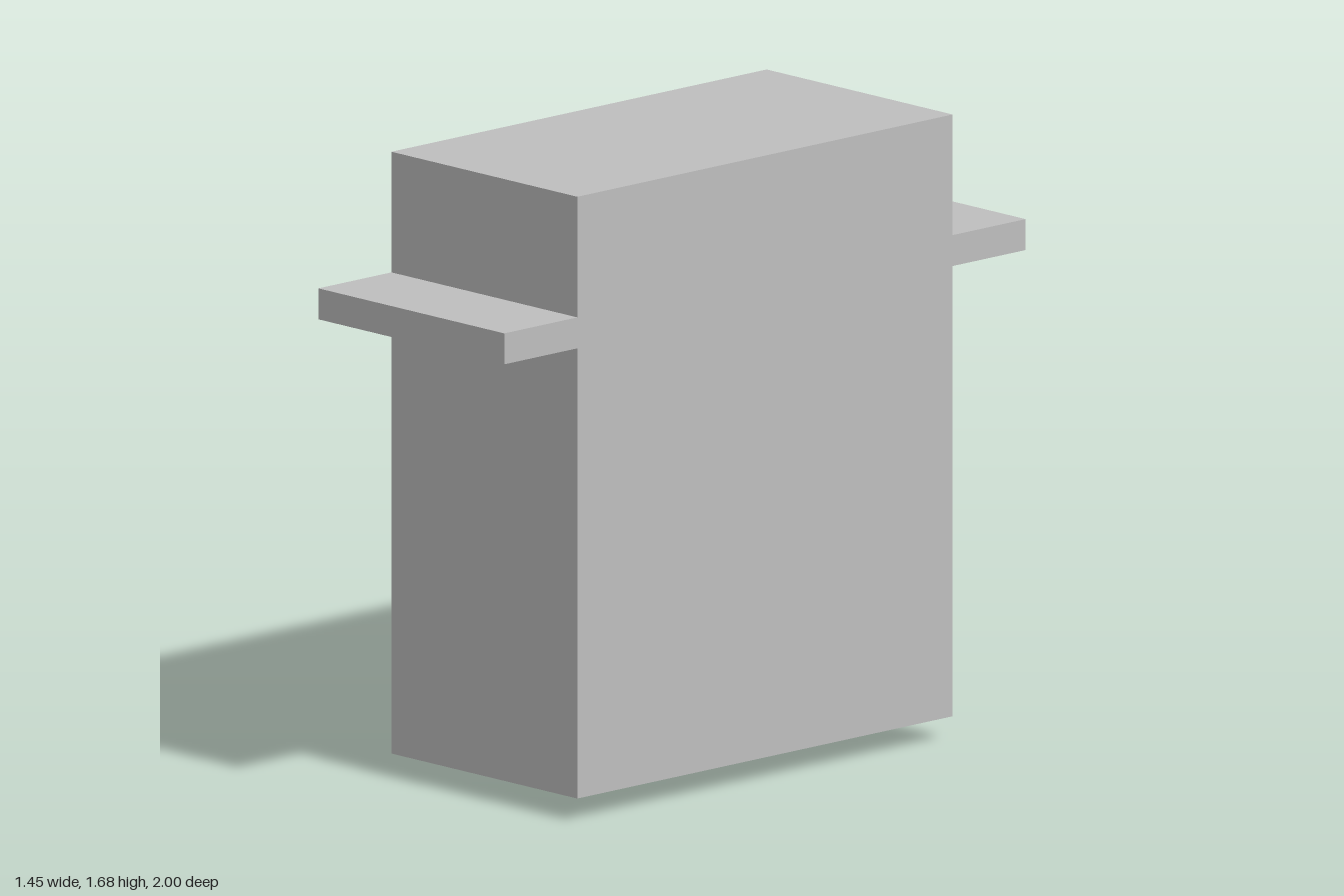
import * as THREE from 'three';

export function createModel() {
  const model = new THREE.Group();
  model.name = 'servoMotor';
  const grey = new THREE.MeshStandardMaterial({ color: 0xbfbfbf });
  grey.name = 'light grey';

  const width = 0.704, bodyLength = 1.352, fullLength = 1.878;
  const bodyBottom = 0.062, bodyTop = 1.676;

  // The whole servo stands turned about the vertical axis
  const servo = new THREE.Group();
  servo.name = 'servo';
  servo.rotation.y = THREE.MathUtils.degToRad(-25.95);
  model.add(servo);

  const add = (name, geometry, x, y, z) => {
    const mesh = new THREE.Mesh(geometry, grey);
    mesh.name = name;
    mesh.position.set(x, y, z);
    servo.add(mesh);
  };

  // Main case
  add('body', new THREE.BoxGeometry(width, bodyTop - bodyBottom, bodyLength),
    0, (bodyTop + bodyBottom) / 2, 0);

  // Mounting tabs at both ends
  const tabLength = (fullLength - bodyLength) / 2;
  for (const side of [1, -1]) {
    add(side > 0 ? 'frontTab' : 'backTab', new THREE.BoxGeometry(width, 0.083, tabLength),
      0, 1.311, side * (bodyLength + tabLength) / 2);
  }

  // Output shaft under the case
  add('outputShaft', new THREE.CylinderGeometry(0.147, 0.147, bodyBottom, 64),
    0, bodyBottom / 2, 0.346);

  return model;
}
